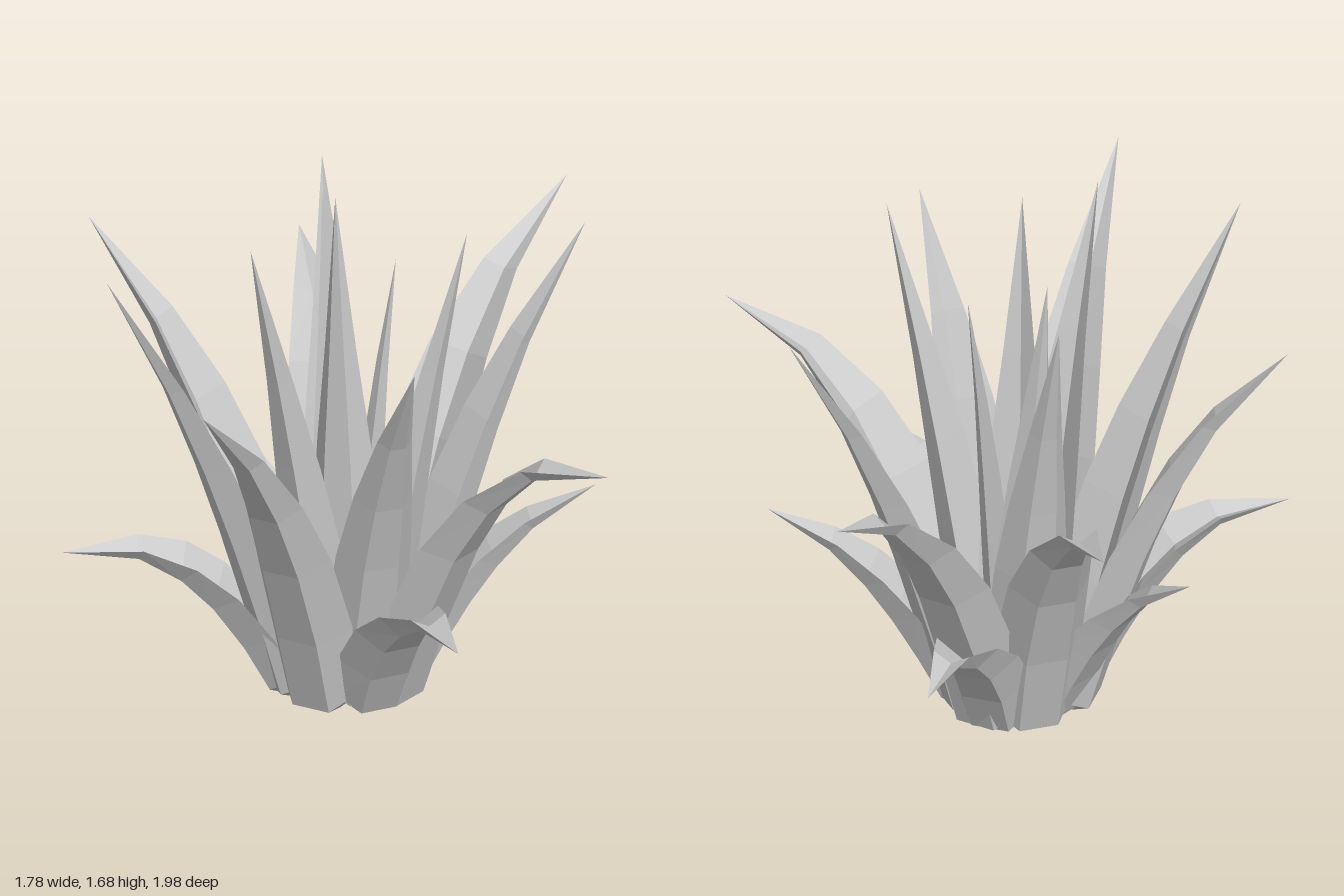
import * as THREE from 'three';

const CENTER = { x: -0.105, z: 0.085 };

// Leaf tips [x, y, z, half width, arch]
const OUTER = [
  [0.66, 0.53, 0.40, 0.125, 1.12], [-0.59, 0.53, 0.77, 0.125, 1.12], [-0.38, 0.53, -0.70, 0.125, 1.12],
  [-0.79, 0.70, 0.02, 0.12, 0.76], [0.44, 0.70, -0.39, 0.12, 0.76],
];
const MIDDLE = [
  [0.89, 1.05, 0.01, 0.125, 1.01], [-0.83, 1.05, -0.45, 0.13, 1.01], [-0.27, 1.22, -0.99, 0.135, 0.87],
  [-0.89, 1.37, 0.36, 0.13, 0.71], [0.20, 1.36, 0.99, 0.13, 0.71], [0.48, 1.38, 0.40, 0.12, 0.65],
  [0.24, 1.43, -0.55, 0.12, 0.62], [-0.41, 1.49, 0.77, 0.125, 0.59],
];
const INNER = [
  [-0.11, 1.60, 0.48, 0.115, 0.51], [0.29, 1.62, -0.01, 0.115, 0.5], [-0.45, 1.54, -0.16, 0.115, 0.54],
  [-0.28, 1.55, 0.01, 0.095, 0.54], [-0.06, 1.68, 0.18, 0.11, 0.47], [-0.02, 1.41, -0.03, 0.08, 0.62],
];

// Cross-section in half widths: flat underside, raised edges, channelled top
const SECTION = [[-0.45, -0.25], [0.45, -0.25], [0.97, 0.46], [0, -0.07], [-0.97, 0.46]];
const STEPS = [0, 0.15, 0.33, 0.5, 0.7, 1];
const WIDTHS = [0.58, 1, 1.07, 0.98, 0.77, 0.45, 0];

function leafGeometry([x, H, z, halfWidth, bend]) {
  const dx = x - CENTER.x, dz = z - CENTER.z;
  const R = Math.hypot(dx, dz), c = dx / R, s = dz / R;
  const r1 = 0.01 + 0.205 * Math.min(1, R / 0.8);

  // Midrib in (radius, height): a short foot, then an arch to the tip
  const arch = new THREE.QuadraticBezierCurve(
    new THREE.Vector2(r1, 0.07),
    new THREE.Vector2(r1 + 0.36 * (R - r1), H * bend),
    new THREE.Vector2(R, H));
  const path = [new THREE.Vector2(r1 * 0.5, 0.02), ...STEPS.map(t => arch.getPoint(t))];

  const pos = [], index = [], n = SECTION.length, last = path.length - 1;
  path.forEach((p, i) => {
    const t = path[Math.min(i + 1, last)].clone().sub(path[Math.max(i - 1, 0)]).normalize();
    const w = halfWidth * WIDTHS[i];
    for (const [a, b] of i === last ? [[0, 0]] : SECTION) {
      const r = p.x - b * w * t.y, y = Math.max(0, p.y + b * w * t.x);
      pos.push(CENTER.x + r * c - a * w * s, y, CENTER.z + r * s + a * w * c);
    }
  });

  for (let i = 0; i < last; i++) {
    for (let k = 0; k < n; k++) {
      const a = i * n + k, b = i * n + (k + 1) % n;
      if (i === last - 1) index.push(a, last * n, b);
      else index.push(a, a + n, b, b, a + n, b + n);
    }
  }
  index.push(3, 4, 0, 3, 0, 1, 3, 1, 2); // foot cap

  const g = new THREE.BufferGeometry();
  g.setAttribute('position', new THREE.Float32BufferAttribute(pos, 3));
  g.setIndex(index);
  const flat = g.toNonIndexed();
  flat.computeVertexNormals();
  return flat;
}

export function createModel() {
  const plant = new THREE.Group();
  plant.name = 'succulentPlant';
  const material = new THREE.MeshStandardMaterial({ color: 0xcccccc, flatShading: true });

  for (const [name, tips] of [['outerLeaf', OUTER], ['middleLeaf', MIDDLE], ['innerLeaf', INNER]]) {
    const ring = new THREE.Group();
    ring.name = name + 'Ring';
    tips.forEach((tip, i) => {
      const leaf = new THREE.Mesh(leafGeometry(tip), material);
      leaf.name = name + (i + 1);
      ring.add(leaf);
    });
    plant.add(ring);
  }
  return plant;
}
